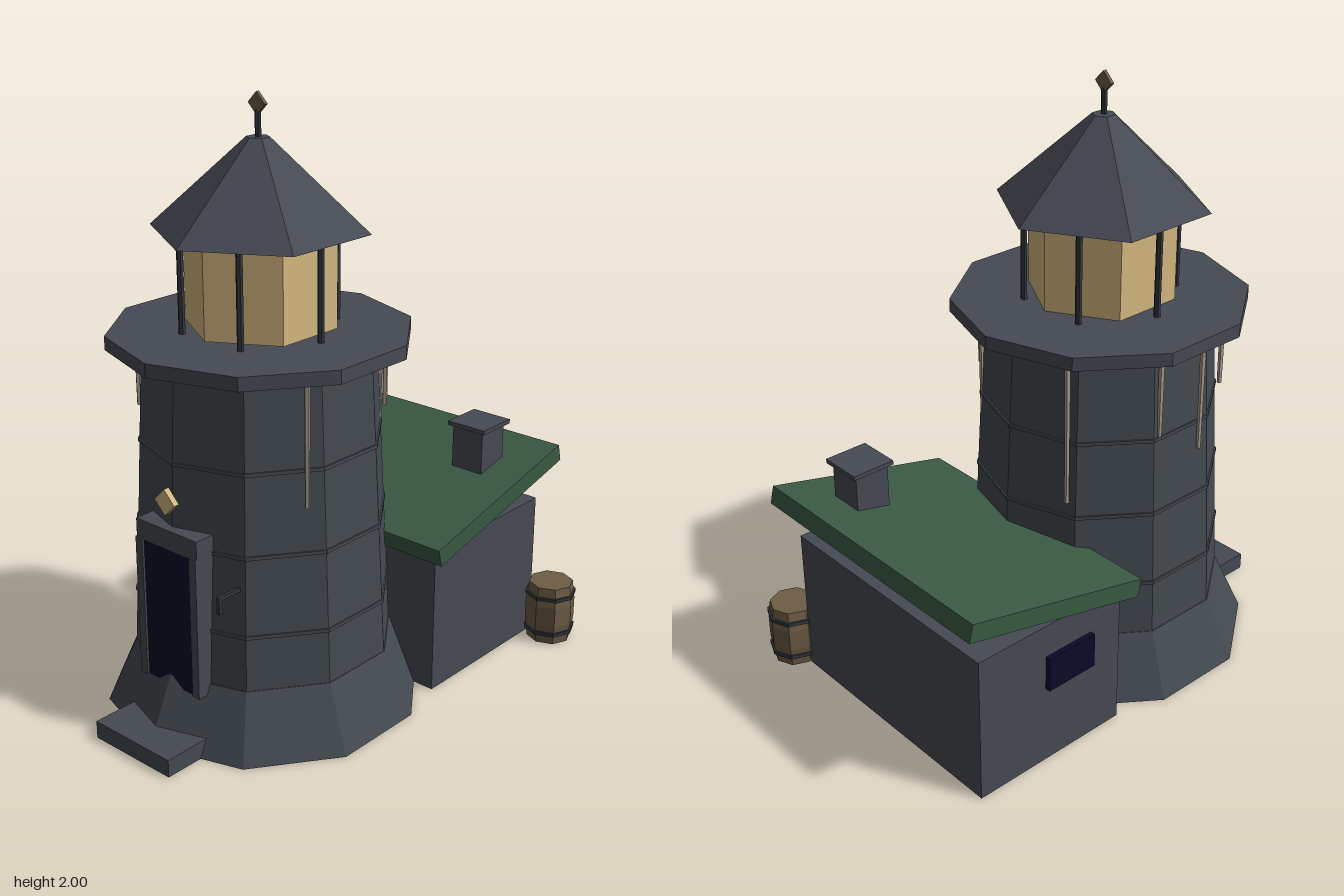
import * as THREE from 'three';

const CX = -0.063, CZ = 0.2; // tower axis

function mat(name, color) {
  const m = new THREE.MeshStandardMaterial({ color, flatShading: true });
  m.name = name;
  return m;
}

export function createModel() {
  const stone = mat('wall stone', 0x434a50);
  const slate = mat('slate', 0x464a53);
  const iron = mat('dark iron', 0x31373d);
  const green = mat('green roof', 0x3a5a44);
  const navy = mat('dark opening', 0x0a0a28);
  const glow = mat('lamp glow', 0xd4b880);
  const wood = mat('barrel wood', 0x6e5d46);
  const bone = mat('pale rod', 0xa89e90);

  const model = new THREE.Group();
  model.name = 'lighthouse';

  function add(parent, name, geo, material, x, y, z) {
    const mesh = new THREE.Mesh(geo, material);
    mesh.name = name;
    mesh.position.set(x, y, z);
    parent.add(mesh);
    return mesh;
  }
  // box given by its min and max on each axis
  function box(parent, name, material, x0, x1, y0, y1, z0, z1) {
    return add(parent, name, new THREE.BoxGeometry(x1 - x0, y1 - y0, z1 - z0), material,
      (x0 + x1) / 2, (y0 + y1) / 2, (z0 + z1) / 2);
  }
  // upright prism or frustum between two heights
  function drum(parent, name, material, rBottom, rTop, y0, y1, sides, x = 0, z = 0) {
    return add(parent, name, new THREE.CylinderGeometry(rTop, rBottom, y1 - y0, sides), material,
      x, (y0 + y1) / 2, z);
  }
  function group(name, x, z) {
    const g = new THREE.Group();
    g.name = name;
    g.position.set(x, 0, z);
    model.add(g);
    return g;
  }

  // Tower
  const tower = group('tower', CX, CZ);
  const wallRadius = y => 0.43 - (y - 0.215) * 0.0525;
  drum(tower, 'base', stone, 0.53, 0.432, 0, 0.215, 10);
  drum(tower, 'wall', stone, 0.43, 0.377, 0.215, 1.225, 10);
  [0.4, 0.66, 0.925].forEach((y, i) => {
    const r = wallRadius(y) + 0.005;
    drum(tower, 'stoneCourse', stone, r, r, y - 0.006, y + 0.006, 10).rotation.z = (i - 1) * 0.01;
  });
  drum(tower, 'galleryDeck', slate, 0.488, 0.488, 1.225, 1.27, 10);

  // Lantern room
  const lantern = group('lantern', CX, CZ);
  drum(lantern, 'lampPedestal', iron, 0.085, 0.085, 1.27, 1.282, 6);
  drum(lantern, 'lampGlass', glow, 0.245, 0.245, 1.278, 1.57, 6);
  for (let i = 0; i < 6; i++) {
    const a = (i * Math.PI) / 3;
    drum(lantern, 'lanternPost', iron, 0.011, 0.011, 1.27, 1.585, 6,
      0.252 * Math.cos(a), 0.252 * Math.sin(a));
  }
  drum(lantern, 'lanternRoof', slate, 0.35, 0.037, 1.58, 1.865, 6);
  drum(lantern, 'finialRod', iron, 0.01, 0.01, 1.86, 1.945, 6);
  add(lantern, 'finialDiamond', new THREE.BoxGeometry(0.05, 0.05, 0.012), wood, 0, 1.965, 0)
    .rotation.z = Math.PI / 4;

  // Rods hanging under the gallery: offset x, offset z, lower end
  const rods = [
    [0.358, 0.18, 0.815], [0.285, -0.27, 1.005], [0.225, -0.315, 0.7],
    [-0.21, -0.34, 0.71], [-0.375, -0.1, 0.93], [-0.39, 0.07, 0.83], [-0.33, 0.225, 0.99],
  ];
  rods.forEach(([x, z, y]) => drum(tower, 'hangingRod', bone, 0.008, 0.01, y, 1.226, 5, x, z));

  // Doorway
  const entrance = group('entrance', 0, 0);
  box(entrance, 'doorJambRight', stone, -0.195, -0.165, 0.18, 0.66, 0.5, 0.638);
  box(entrance, 'doorJambLeft', stone, 0.042, 0.072, 0.18, 0.66, 0.5, 0.638);
  box(entrance, 'doorLintel', stone, -0.195, 0.072, 0.655, 0.72, 0.5, 0.632);
  box(entrance, 'doorOpening', navy, -0.165, 0.042, 0.18, 0.656, 0.5, 0.63);
  box(entrance, 'doorStep', stone, -0.225, 0.108, 0, 0.06, 0.62, 0.81);
  add(entrance, 'wallDiamond', new THREE.BoxGeometry(0.062, 0.062, 0.02), glow, CX, 0.81, 0.622)
    .rotation.z = Math.PI / 4;

  // Iron hook beside the door
  box(entrance, 'hookArm', iron, 0.151, 0.163, 0.55, 0.562, 0.52, 0.63);
  box(entrance, 'hookDrop', iron, 0.151, 0.163, 0.505, 0.562, 0.618, 0.63);

  // Hut with a tilted roof
  const hut = group('hut', 0, 0);
  box(hut, 'hutWalls', slate, -0.515, 0.393, 0, 0.515, -0.715, -0.135);
  add(hut, 'hutRoof', new THREE.BoxGeometry(1.005, 0.062, 0.7), green, CX, 0.598, -0.44)
    .rotation.x = 0.237;
  box(hut, 'hutWindow', navy, -0.534, -0.51, 0.28, 0.4, -0.45, -0.26);
  box(hut, 'chimney', slate, 0.178, 0.302, 0.58, 0.8, -0.628, -0.504);
  box(hut, 'chimneyCap', slate, 0.165, 0.317, 0.798, 0.813, -0.643, -0.49);

  // Barrel
  const barrel = group('barrel', 0.473, -0.72);
  const profile = [[0, 0], [0.078, 0], [0.088, 0.07], [0.088, 0.145], [0.078, 0.215], [0, 0.215]]
    .map(([r, y]) => new THREE.Vector2(r, y));
  add(barrel, 'barrelBody', new THREE.LatheGeometry(profile, 8), wood, 0, 0, 0);
  [0.04, 0.175].forEach(y =>
    drum(barrel, 'barrelHoop', iron, 0.09, 0.09, y - 0.007, y + 0.007, 8));

  return model;
}
